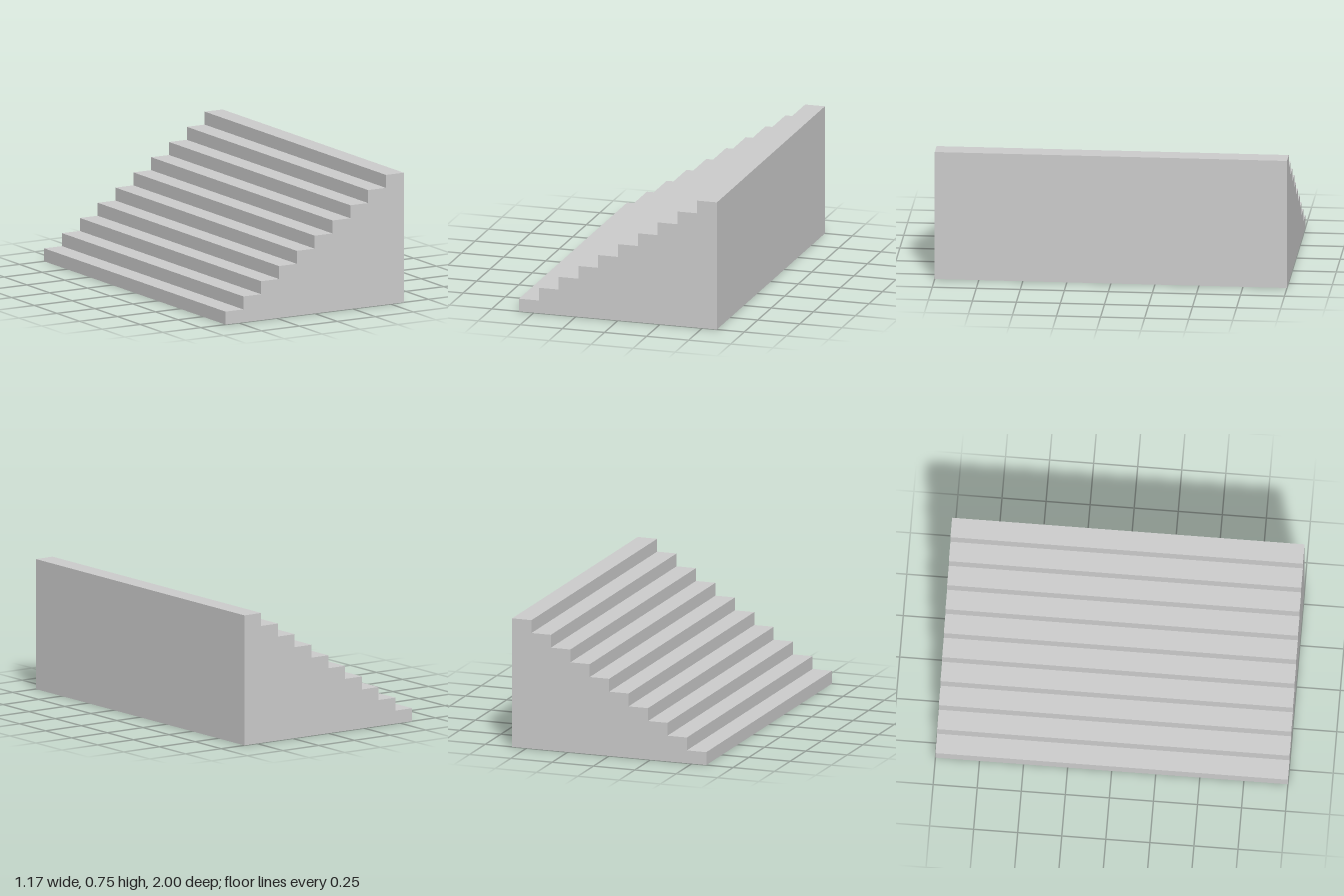
import * as THREE from 'three';

const STEPS = 10;
const TREAD = 0.1175; // depth of each step
const RISER = 0.075; // height of each step
const WIDTH = 2; // length of the flight along z

export function createModel() {
  const model = new THREE.Group();
  model.name = 'staircase';

  // Stepped side profile, rising towards +x
  const half = (STEPS * TREAD) / 2;
  const profile = new THREE.Shape();
  profile.moveTo(-half, 0);
  profile.lineTo(half, 0);
  for (let i = STEPS; i > 0; i--) {
    profile.lineTo(-half + i * TREAD, i * RISER);
    profile.lineTo(-half + (i - 1) * TREAD, i * RISER);
  }
  profile.closePath();

  // Solid flight of steps
  const geometry = new THREE.ExtrudeGeometry(profile, { depth: WIDTH, bevelEnabled: false });
  geometry.translate(0, 0, -WIDTH / 2);
  const steps = new THREE.Mesh(
    geometry,
    new THREE.MeshStandardMaterial({ color: 0xcccccc, flatShading: true })
  );
  steps.name = 'steps';
  model.add(steps);

  return model;
}
